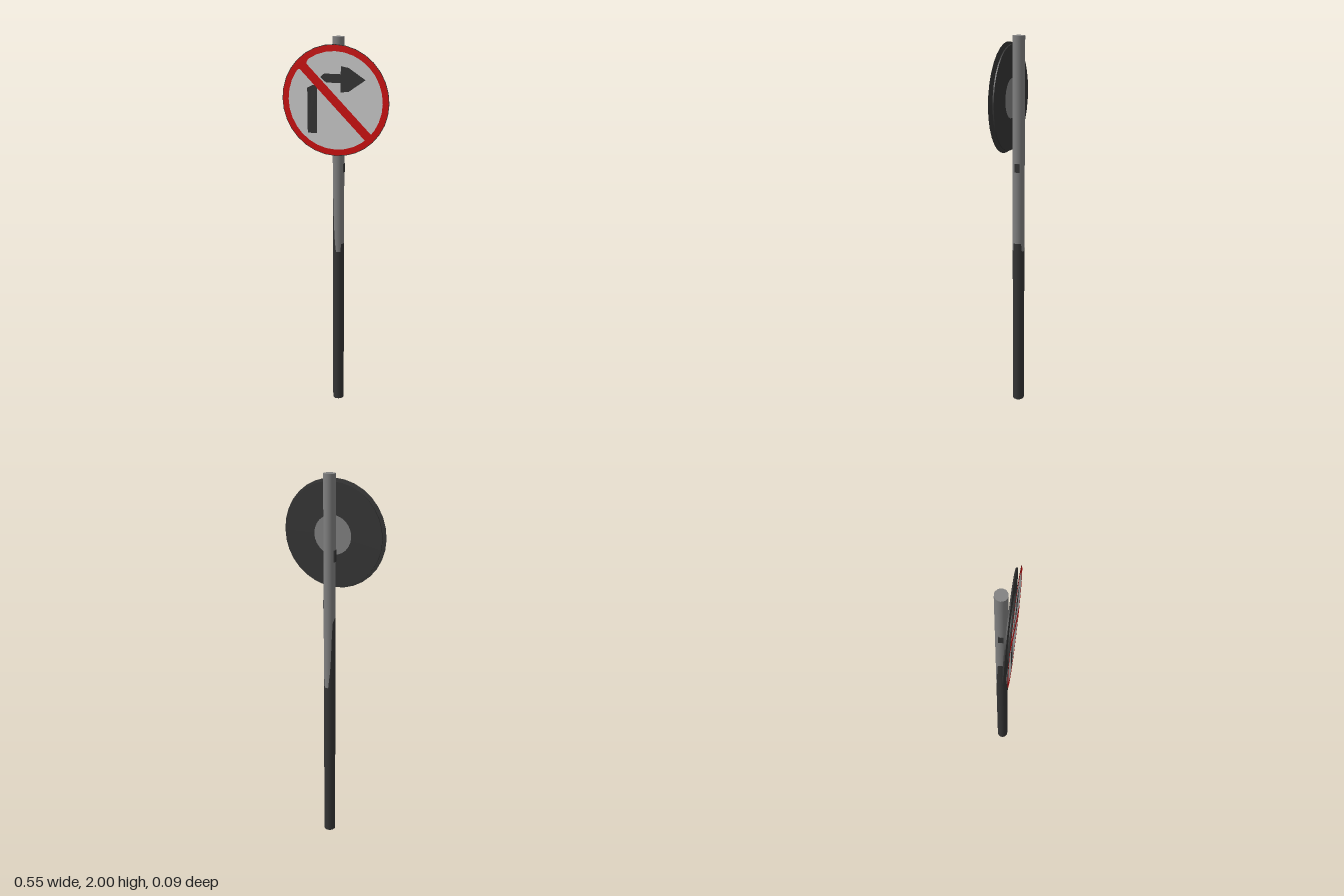
import * as THREE from 'three';
import { toCreasedNormals } from 'three/addons/utils/BufferGeometryUtils.js';

const mat = (name, color) => {
  const m = new THREE.MeshStandardMaterial({ color });
  m.name = name;
  return m;
};

export function createModel() {
  const group = new THREE.Group();
  const grey = mat('grey metal', 0x7f7f7f);
  const dark = mat('dark metal', 0x343434);
  const red = mat('sign red', 0xd00d0d);
  const white = mat('sign white', 0xcccccc);

  const add = (parent, name, geometry, material, x = 0, y = 0, z = 0) => {
    const mesh = new THREE.Mesh(geometry, material);
    mesh.name = name;
    mesh.position.set(x, y, z);
    parent.add(mesh);
    return mesh;
  };

  // Ten-sided pole: a dark lower coat rises in a ragged streak on the -x side
  const SIDES = 10, SPLIT = 4, COLS = SIDES * SPLIT, R = 0.031, POLE_Z = -0.016;
  const coatTop = (i) => {
    const a = Math.abs(i / COLS * 360 - 180);
    if (a < 38) return 1.28 - a * 0.0008;
    if (a < 56) return 1.25 - (a - 38) * 0.013;
    if (a < 80) return 1.0 - (a - 56) * 0.004;
    return a < 130 ? 0.89 : 0.935;
  };
  const corner = (k) => {
    const a = k / SIDES * Math.PI * 2;
    return new THREE.Vector2(Math.cos(a) * R, Math.sin(a) * R);
  };
  const poleShell = (low, high) => {
    const pos = [], nor = [], idx = [];
    for (let i = 0; i <= COLS; i++) {
      const k = Math.floor(i / SPLIT);
      const p = corner(k).lerp(corner(k + 1), (i % SPLIT) / SPLIT);
      const n = p.clone().normalize();
      for (const y of [low(i), high(i)]) {
        pos.push(p.x, y, p.y);
        nor.push(n.x, 0, n.y);
      }
      if (i < COLS) {
        const b = i * 2;
        idx.push(b, b + 1, b + 2, b + 1, b + 3, b + 2);
      }
    }
    const g = new THREE.BufferGeometry();
    g.setAttribute('position', new THREE.Float32BufferAttribute(pos, 3));
    g.setAttribute('normal', new THREE.Float32BufferAttribute(nor, 3));
    g.setIndex(idx);
    return g;
  };
  const pole = new THREE.Group();
  pole.name = 'pole';
  pole.position.z = POLE_Z;
  group.add(pole);
  add(pole, 'lowerPole', poleShell(() => 0, coatTop), dark);
  add(pole, 'upperPole', poleShell(coatTop, () => 2), grey);
  add(pole, 'poleTop', new THREE.CircleGeometry(R, SIDES).rotateX(-Math.PI / 2), grey, 0, 2, 0);
  add(pole, 'poleBottom', new THREE.CircleGeometry(R, SIDES).rotateX(Math.PI / 2), dark);
  add(pole, 'patchLeft', new THREE.BoxGeometry(0.008, 0.045, 0.026), dark, 0.0275, 1.345, 0);
  add(pole, 'patchRight', new THREE.BoxGeometry(0.008, 0.06, 0.026), dark, -0.0275, 1.6, 0);

  // Round sign: back flange, narrow waist and dished front rim
  const sign = new THREE.Group();
  sign.name = 'sign';
  sign.position.y = 1.695;
  group.add(sign);
  const profile = [
    [0, 0.02], [0.262, 0.02], [0.262, 0.026], [0.15, 0.028],
    [0.15, 0.032], [0.2, 0.039], [0.275, 0.0435], [0, 0.0435],
  ].map(([x, y]) => new THREE.Vector2(x, y));
  const body = new THREE.LatheGeometry(profile, 32).rotateX(Math.PI / 2);
  add(sign, 'signBody', toCreasedNormals(body, 0.5), dark);
  add(sign, 'backCentre', new THREE.CircleGeometry(0.1, 24).rotateY(Math.PI), grey, 0, 0, 0.0193);

  // Painted face
  add(sign, 'redBorder', new THREE.RingGeometry(0.242, 0.272, 32), red, 0, 0, 0.0441);
  add(sign, 'whiteFace', new THREE.CircleGeometry(0.243, 32), white, 0, 0, 0.0439);
  const plate = (points) =>
    new THREE.ShapeGeometry(new THREE.Shape(points.map(([x, y]) => new THREE.Vector2(x, y))));
  add(sign, 'arrowStem', plate([
    [-0.143, -0.165], [-0.093, -0.165], [-0.093, 0.075], [-0.115, 0.075], [-0.143, 0.06],
  ]), dark, 0, 0, 0.0444);
  add(sign, 'arrowHead', plate([
    [-0.045, 0.09], [0.03, 0.09], [0.03, 0.045], [0.07, 0.05], [0.155, 0.11],
    [0.07, 0.165], [0.03, 0.172], [0.03, 0.133], [-0.055, 0.133], [-0.075, 0.115],
  ]), dark, 0, 0, 0.0444);
  const bar = add(sign, 'redSlash', new THREE.PlaneGeometry(0.51, 0.044), red, 0, 0, 0.0449);
  bar.rotation.z = -Math.PI / 4;

  // Wider root of the slash at the upper left of the border
  add(sign, 'slashRoot', plate([
    [-0.2, 0.15], [-0.15, 0.15], [-0.145, 0.185], [-0.12, 0.225], [-0.17, 0.195],
  ]), red, 0, 0, 0.0447);

  return group;
}
